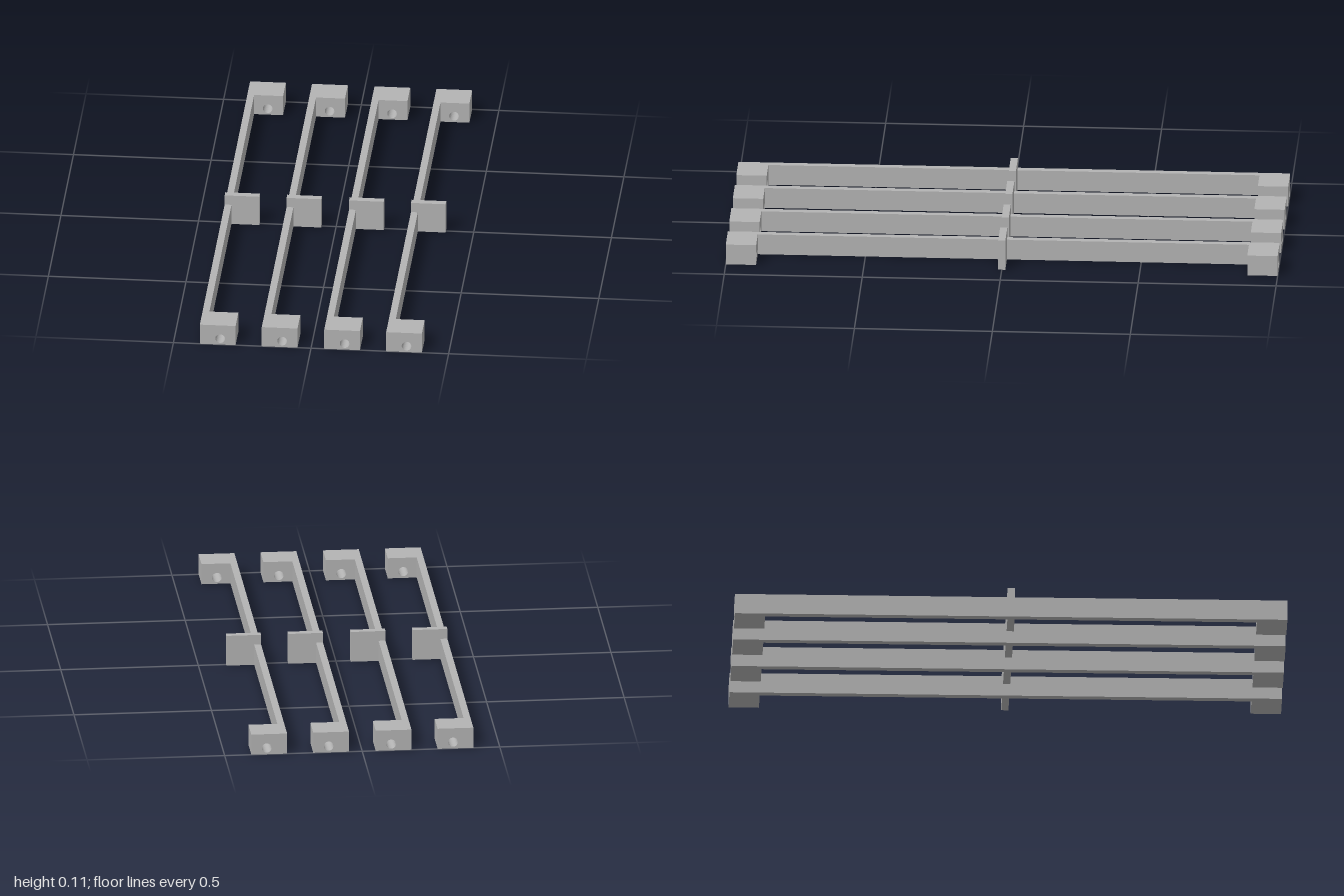
import * as THREE from 'three';

const LEFT_EDGES = [-0.404, -0.179, 0.048, 0.273];
const HEIGHT = 0.077, BLOCK_WIDTH = 0.13, BLOCK_DEPTH = 0.11;
const BAR_WIDTH = 0.025, FIN_HALF = 0.013;

export function createModel() {
  const grey = new THREE.MeshStandardMaterial({ color: 0xb4b4b4 });
  grey.name = 'plain grey';
  const model = new THREE.Group();
  model.name = 'bracketSet';

  // End block: rectangle with a round through-hole, extruded along z
  const outline = new THREE.Shape([
    new THREE.Vector2(0, 0), new THREE.Vector2(BLOCK_WIDTH, 0),
    new THREE.Vector2(BLOCK_WIDTH, HEIGHT), new THREE.Vector2(0, HEIGHT),
  ]);
  outline.holes.push(new THREE.Path().absarc(0.074, 0.024, 0.0175, 0, Math.PI * 2, true));
  const blockGeometry = new THREE.ExtrudeGeometry(outline, {
    depth: BLOCK_DEPTH, bevelEnabled: false, curveSegments: 16,
  });

  // Long bar halves, each running from the centre fin to an end block
  const barLength = 1 - BLOCK_DEPTH - FIN_HALF;
  const barGeometry = new THREE.BoxGeometry(BAR_WIDTH, HEIGHT, barLength);
  barGeometry.translate(BAR_WIDTH / 2, HEIGHT / 2, 0);

  // Taller centre fin
  const finGeometry = new THREE.BoxGeometry(0.126, 0.114, FIN_HALF * 2);
  finGeometry.translate(0.063, 0.057, 0);

  LEFT_EDGES.forEach((x, i) => {
    const bracket = new THREE.Group();
    bracket.name = `bracket${i + 1}`;
    bracket.position.x = x;
    const add = (geometry, name, z) => {
      const mesh = new THREE.Mesh(geometry, grey);
      mesh.name = name;
      mesh.position.z = z;
      bracket.add(mesh);
    };
    add(blockGeometry, 'frontBlock', 1 - BLOCK_DEPTH);
    add(blockGeometry, 'backBlock', -1);
    add(barGeometry, 'frontBar', FIN_HALF + barLength / 2);
    add(barGeometry, 'backBar', -FIN_HALF - barLength / 2);
    add(finGeometry, 'centreFin', 0);
    model.add(bracket);
  });
  return model;
}
